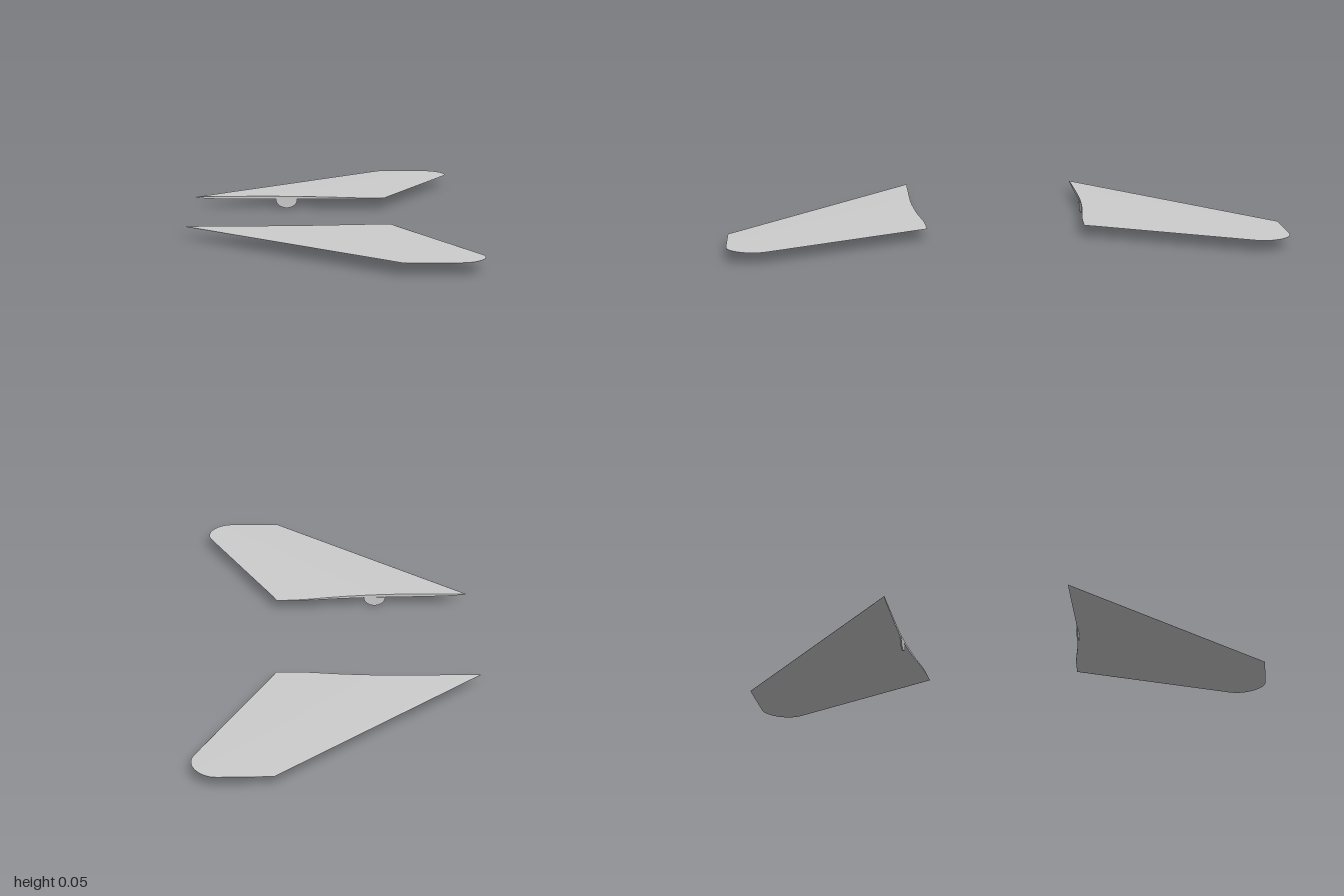
import * as THREE from 'three';

const N = 28; // chordwise steps
const M = 16; // spanwise steps
const EDGE_Y = 0.0435;

// Root and tip outlines in plan (x, z), both running leading edge to trailing edge
function rootCurve() {
  return new THREE.CatmullRomCurve3([
    [-0.51, 0.326], [-0.36, 0.326], [-0.2, 0.325], [-0.1, 0.319],
    [0, 0.309], [0.12, 0.292], [0.225, 0.286],
  ].map(([x, z]) => new THREE.Vector3(x, 0, z)));
}

function tipCurve() {
  const path = new THREE.CurvePath();
  const p = (x, z) => new THREE.Vector3(x, 0, z);
  path.add(new THREE.LineCurve3(p(0.23, 1), p(0.42, 1)));
  path.add(new THREE.CubicBezierCurve3(p(0.42, 1), p(0.475, 1), p(0.527, 0.925), p(0.5, 0.86)));
  return path;
}

// Thin lofted panel, nearly flat above and bellied below; side is +1 or -1 along z
function panelGeometry(side) {
  const root = rootCurve(), tip = tipCurve();
  const pos = [], index = [], ring = 2 * N;
  const tri = (a, b, c) => (side > 0 ? index.push(a, b, c) : index.push(a, c, b));

  const addRing = (v) => {
    const first = pos.length / 3;
    for (let k = 0; k < ring; k++) {
      const top = k <= N;
      const t = (top ? k : ring - k) / N;
      const u = (1 - Math.cos(Math.PI * t)) / 2; // finer steps at both edges
      const p = root.getPointAt(u).lerp(tip.getPointAt(u), v);
      const profile = Math.sqrt(u) * (1 - u) * 2.6; // fullest a third of the way back
      const taper = 1 - 0.85 * v;
      const y = top ? EDGE_Y + 0.0025 * profile * taper : EDGE_Y - 0.0095 * profile * taper;
      pos.push(p.x, y, p.z * side);
    }
    return first;
  };

  // Skin
  for (let j = 0; j <= M; j++) addRing(j / M);
  for (let j = 0; j < M; j++) {
    for (let k = 0; k < ring; k++) {
      const a = j * ring + k, b = j * ring + (k + 1) % ring;
      tri(a, a + ring, b);
      tri(b, a + ring, b + ring);
    }
  }

  // Root and tip caps on their own vertices, so the rims stay sharp
  for (const v of [0, 1]) {
    const o = addRing(v);
    const capTri = (a, b, c) => (v === 0 ? tri(a, b, c) : tri(a, c, b));
    for (let k = 0; k < N; k++) {
      const a = o + k, b = o + k + 1;
      const c = o + (ring - k) % ring, d = o + ring - k - 1;
      if (k > 0) capTri(a, b, c);
      if (k < N - 1) capTri(b, d, c);
    }
  }

  const g = new THREE.BufferGeometry();
  g.setAttribute('position', new THREE.Float32BufferAttribute(pos, 3));
  g.setIndex(index);
  g.computeVertexNormals();
  return g;
}

// Half-round hinge lug hanging below the root
function lugGeometry() {
  const s = new THREE.Shape();
  s.moveTo(-0.041, 0.037);
  s.lineTo(-0.041, 0.028);
  s.bezierCurveTo(-0.034, 0.01, -0.016, 0.002, 0, 0.002);
  s.bezierCurveTo(0.016, 0.002, 0.034, 0.01, 0.041, 0.028);
  s.lineTo(0.041, 0.037);
  s.closePath();
  const g = new THREE.ExtrudeGeometry(s, { depth: 0.005, bevelEnabled: false, curveSegments: 8 });
  g.translate(0, -0.002, -0.0025);
  return g;
}

export function createModel() {
  const model = new THREE.Group();
  model.name = 'tailplanes';
  const paint = new THREE.MeshStandardMaterial({ color: 0xcccccc });
  paint.name = 'light grey paint';

  for (const side of [1, -1]) {
    const half = new THREE.Group();
    half.name = side > 0 ? 'frontTailplane' : 'rearTailplane';

    const panel = new THREE.Mesh(panelGeometry(side), paint);
    panel.name = 'panel';
    const lug = new THREE.Mesh(lugGeometry(), paint);
    lug.name = 'hingeLug';
    lug.position.set(-0.153, 0, side * 0.325);

    half.add(panel, lug);
    model.add(half);
  }
  return model;
}
